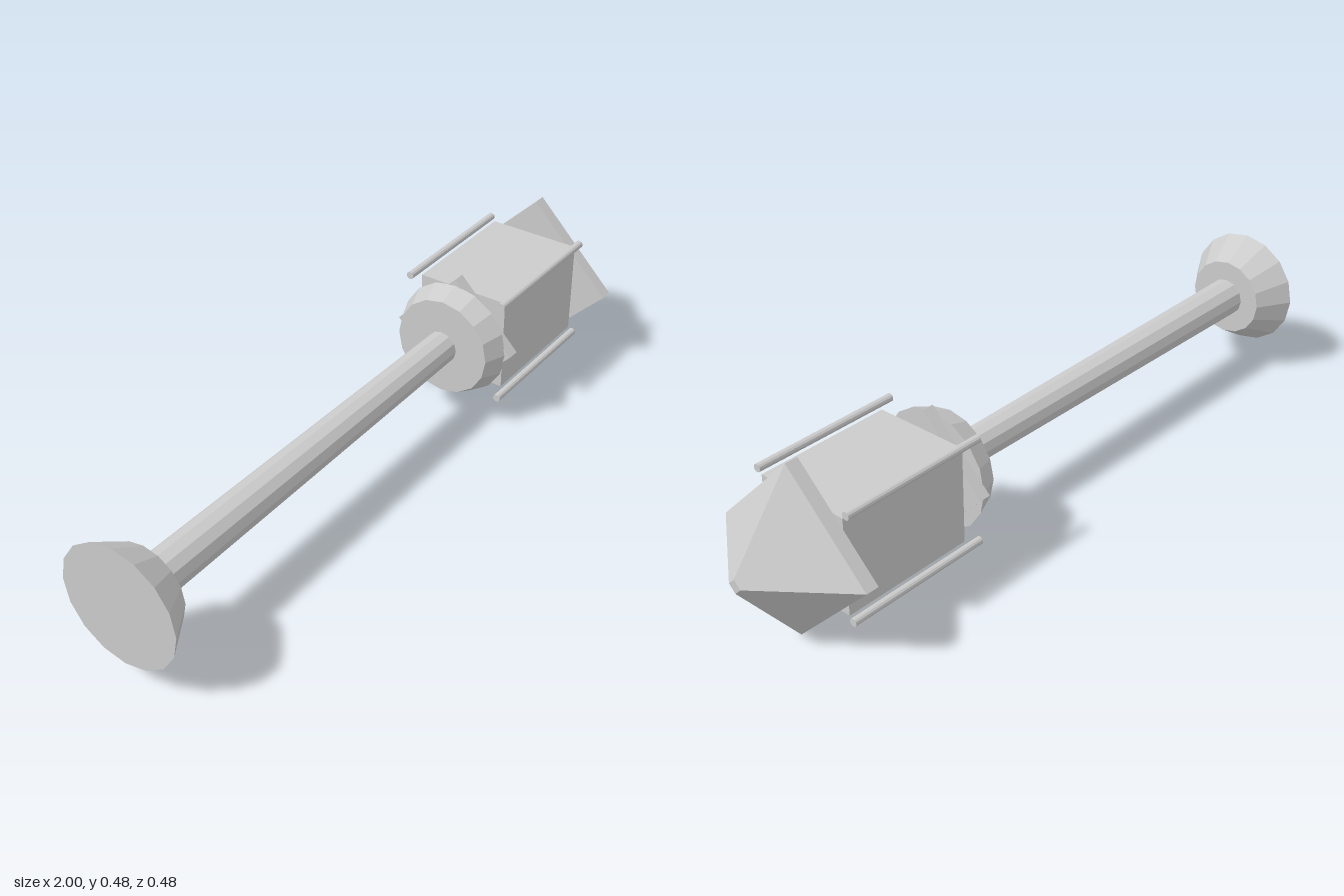
import * as THREE from 'three';

export function createModel() {
  const model = new THREE.Group();
  model.name = 'lampPost';
  const material = new THREE.MeshStandardMaterial({ color: 0xcccccc, flatShading: true });

  const add = (name, geometry, along, x = 0, z = 0) => {
    const mesh = new THREE.Mesh(geometry, material);
    mesh.name = name;
    mesh.position.set(x, along, z);
    model.add(mesh);
  };
  // Tapered prism between two positions along the post
  const prism = (name, from, to, rFrom, rTo, sides, x, z) =>
    add(name, new THREE.CylinderGeometry(rTo, rFrom, to - from, sides), (from + to) / 2, x, z);

  // Foot, pole and collar
  prism('foot', -1, -0.905, 0.17, 0.113, 16);
  prism('pole', -0.905, 0.3, 0.056, 0.047, 12);
  prism('collar', 0.3, 0.362, 0.143, 0.168, 16);

  // Lantern: diamond tray, square body, diamond eave and blunt pyramid roof
  prism('tray', 0.36, 0.396, 0.185, 0.185, 4);
  add('lanternBody', new THREE.BoxGeometry(0.273, 0.388, 0.273), 0.596);
  prism('eave', 0.79, 0.827, 0.242, 0.242, 4);
  prism('roof', 0.827, 1, 0.242, 0.02, 4);

  // Thin corner rods
  for (const sx of [-1, 1])
    for (const sz of [-1, 1])
      prism('cornerRod', 0.36, 0.792, 0.011, 0.011, 12, sx * 0.149, sz * 0.149);

  // Lay the post on its side
  model.rotation.z = -Math.PI / 2;
  model.position.y = 0.242;
  const group = new THREE.Group();
  group.add(model);
  return group;
}
